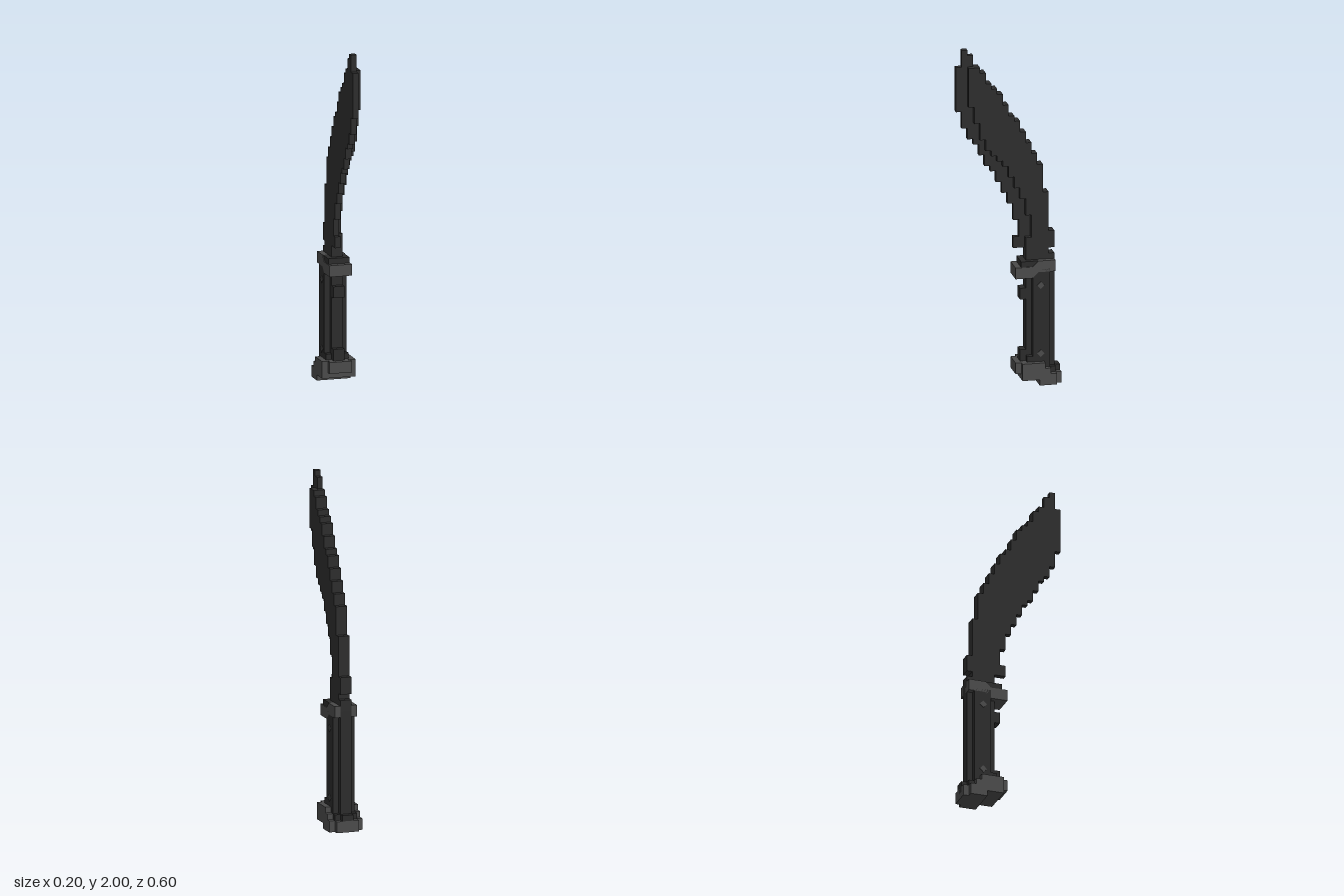
import * as THREE from 'three';

const U = 1 / 30; // one block

export function createModel() {
  const group = new THREE.Group();
  group.name = 'machete';
  const mat = (name, color) => {
    const m = new THREE.MeshStandardMaterial({ color });
    m.name = name;
    return m;
  };
  const blackSteel = mat('black steel', 0x2d2d2d);
  const blackGrip = mat('black grip', 0x2b2b2b);
  const greyMetal = mat('grey metal', 0x4a4a4a);

  // Side outline of [z, y] block units, extruded from x0 to x1
  function plate(name, material, x0, x1, points) {
    const shape = new THREE.Shape(points.map(([z, y]) => new THREE.Vector2(z * U, y * U)));
    const geo = new THREE.ExtrudeGeometry(shape, { depth: (x1 - x0) * U, bevelEnabled: false });
    geo.translate(0, 0, -x1 * U);
    geo.rotateY(-Math.PI / 2);
    const mesh = new THREE.Mesh(geo, material);
    mesh.name = name;
    group.add(mesh);
    return mesh;
  }

  // Stepped outline: each edge is a list of [z, y where that step ends], going down
  function stepped(name, material, x0, x1, top, front, back) {
    const trace = (edge) => {
      let y = top;
      return edge.flatMap(([z, end]) => {
        const pair = [[z, y], [z, end]];
        y = end;
        return pair;
      });
    };
    return plate(name, material, x0, x1, [...trace(front), ...trace(back).reverse()]);
  }

  // Blade: full cutting layer plus a shorter spine layer beside it
  const spineEdge = [[5, 56], [4, 54], [3, 53], [2, 52], [1, 50], [0, 48], [-1, 47], [-2, 45], [-3, 43],
    [-4, 41], [-5, 39], [-6, 34], [-7, 27], [-8, 24], [-7, 23], [-8, 21]];
  stepped('bladeCuttingLayer', blackSteel, -1, 0, 60,
    [[8, 57], [9, 49], [8, 46], [7, 44], [6, 43], [5, 41], [4, 39], [3, 38], [2, 36], [1, 34], [0, 32],
      [-1, 29], [-2, 26], [-1, 24], [-3, 21]],
    [[7, 59], [6, 57], ...spineEdge]);
  stepped('bladeSpineLayer', blackSteel, 0, 1, 57,
    [[7, 50], [6, 47], [5, 44], [4, 42], [3, 41], [2, 40], [1, 39], [0, 37], [-1, 35], [-2, 33],
      [-3, 30], [-4, 26], [-3, 21]],
    spineEdge);

  // Collar and guard
  stepped('collar', blackGrip, -1.9, 1.9, 22, [[-2, 20]], [[-5, 20]]);
  plate('guard', greyMetal, -2, 2,
    [[-1, 21], [-4, 21], [-5, 22], [-8, 22], [-8, 20], [-5, 20], [-4, 19], [-1, 19]].reverse());

  // Handle: narrow core with finger stops, wider grip scales
  stepped('handleCore', blackGrip, -1, 1, 21,
    [[-3, 17], [-2, 15], [-3, 6], [-2, 3]], [[-8, 3], [-9, 1]]);
  stepped('gripScales', blackGrip, -2, 2, 20.5,
    [[-4, 5], [-3, 3]], [[-7, 3], [-8, 1.5]]);

  // Rivets
  for (const y of [17.65, 5.45]) {
    for (const side of [-1, 1]) {
      const s = 0.65;
      plate('rivet', greyMetal, side * 2 - 0.1, side * 2 + 0.1,
        [[-5.4, y - s], [-5.4 + s, y], [-5.4, y + s], [-5.4 - s, y]]);
    }
  }

  // Pommel: wide middle with narrower ends
  stepped('pommel', greyMetal, -3, 3, 4,
    [[-2, 1], [-5, 0]], [[-6, 3], [-7, 2], [-8, 0]]);
  stepped('pommelEnds', greyMetal, -2, 2, 3.98,
    [[-1, 2], [-2.02, 1.02], [-5.02, 0]], [[-5.98, 2.98], [-6.98, 1.98], [-9, 0]]);

  // Outlines run either way round, so make every face point outward
  return group;
}
